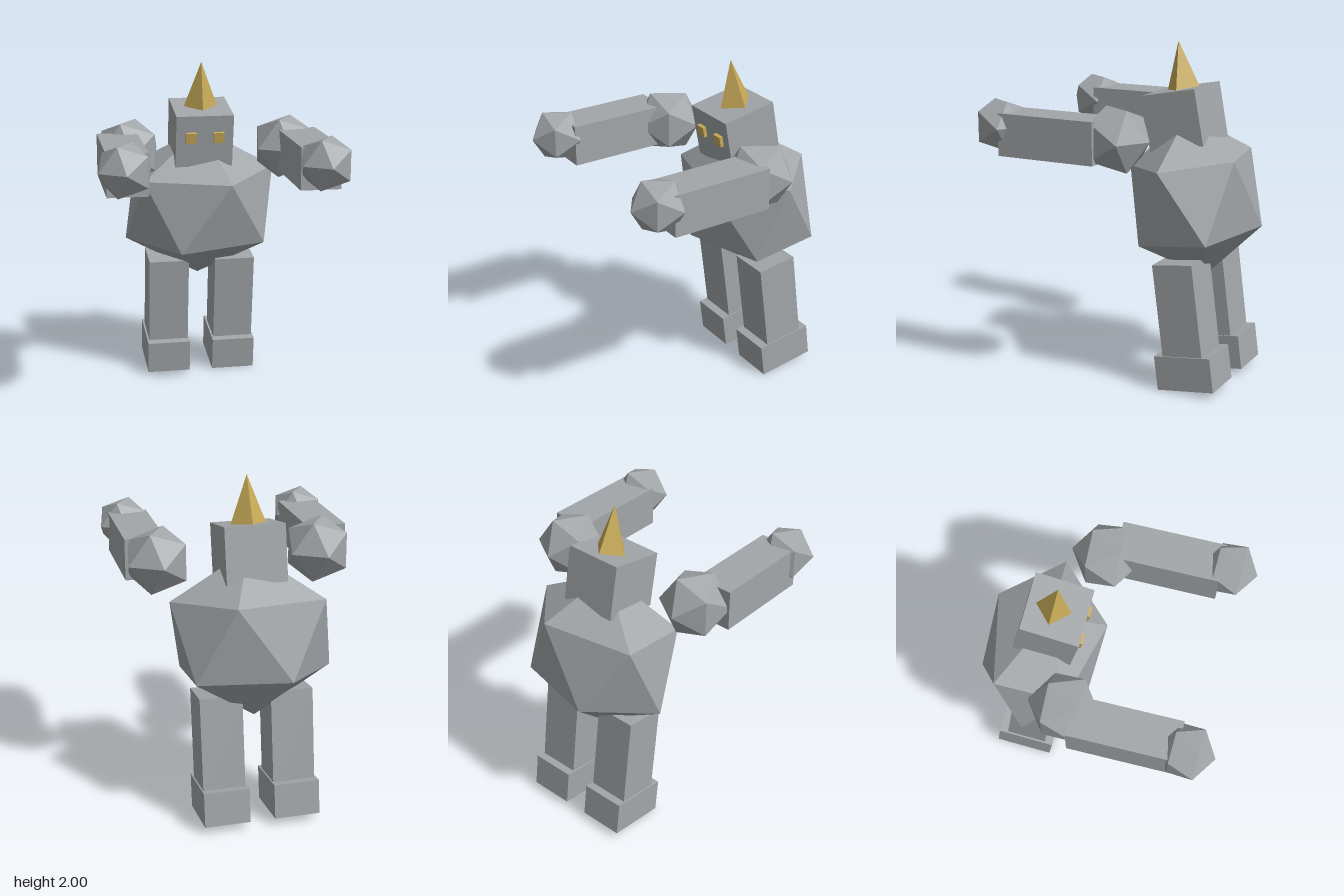
import * as THREE from 'three';
import { ConvexGeometry } from 'three/addons/geometries/ConvexGeometry.js';

const YAW = -0.035; // the whole figure turns slightly to its right

export function createModel() {
  const stone = new THREE.MeshStandardMaterial({ color: 0xa2a6a9, flatShading: true });
  stone.name = 'grey stone';
  const gold = new THREE.MeshStandardMaterial({ color: 0xc8ab58, flatShading: true });
  gold.name = 'gold';

  const model = new THREE.Group();
  model.name = 'golem';

  function add(parent, name, geometry, material, position, pitch = 0, yaw = 0) {
    const mesh = new THREE.Mesh(geometry, material);
    mesh.name = name;
    mesh.position.set(...position);
    mesh.rotation.set(pitch, yaw, 0, 'YXZ');
    parent.add(mesh);
    return mesh;
  }

  // Body: stretched icosahedron, given as six corners and their opposites
  const corners = [
    [0, 0.48, 0.06],
    [0.135, 0.175, 0.362],
    [0.465, 0.223, 0.042],
    [0.165, 0.26, -0.295],
    [-0.377, 0.235, -0.195],
    [-0.382, 0.19, 0.217],
  ].map((c) => new THREE.Vector3(...c));
  const bodyPoints = corners.concat(corners.map((c) => c.clone().negate()));
  add(model, 'body', new ConvexGeometry(bodyPoints), stone, [0.037, 1.107, -0.397]);

  // Head with horn and eyes, nodding forward
  const head = new THREE.Group();
  head.name = 'head';
  head.position.set(0.03, 1.57, -0.317);
  head.rotation.set(0.185, YAW, 0, 'YXZ');
  model.add(head);
  add(head, 'skull', new THREE.BoxGeometry(0.35, 0.325, 0.34), stone, [0, 0, 0]);
  add(head, 'horn', new THREE.ConeGeometry(0.103, 0.275, 4), gold, [0, 0.298, -0.028], -0.05);
  for (const side of [-1, 1]) {
    add(head, side > 0 ? 'leftEye' : 'rightEye',
      new THREE.BoxGeometry(0.064, 0.064, 0.05), gold, [side * 0.085, 0.028, 0.167]);
  }

  // Legs and feet, leaning with the body
  const legTilt = 0.13;
  for (const side of [-1, 1]) {
    const label = side > 0 ? 'left' : 'right';
    const x = 0.04 + side * 0.209;
    const dz = side * 0.007;
    add(model, label + 'Leg', new THREE.BoxGeometry(0.25, 0.62, 0.25), stone,
      [x, 0.463, -0.441 + dz], legTilt, YAW);
    add(model, label + 'Foot', new THREE.BoxGeometry(0.27, 0.205, 0.355), stone,
      [x, 0.126, -0.485 + dz], legTilt, YAW);
  }

  // Arms: faceted shoulder, straight forearm, faceted fist
  const fist = new THREE.IcosahedronGeometry(0.166)
    .rotateX(Math.atan(2 / (1 + Math.sqrt(5)))) // one corner points forward
    .rotateZ(-Math.PI / 2);
  const shoulder = new THREE.IcosahedronGeometry(0.205);
  for (const side of [-1, 1]) {
    const label = side > 0 ? 'left' : 'right';
    const dz = side * 0.02;
    add(model, label + 'Shoulder', shoulder, stone,
      [0.035 + side * 0.477, 1.502, -0.134 + dz], 0, 1.0);
    add(model, label + 'Arm', new THREE.BoxGeometry(0.235, 0.245, 0.61), stone,
      [0.014 + side * 0.543, 1.498, 0.23 + dz], 0, YAW);
    add(model, label + 'Fist', fist, stone,
      [side * 0.56, 1.536, 0.577 + dz], 0, -0.07);
  }

  return model;
}
